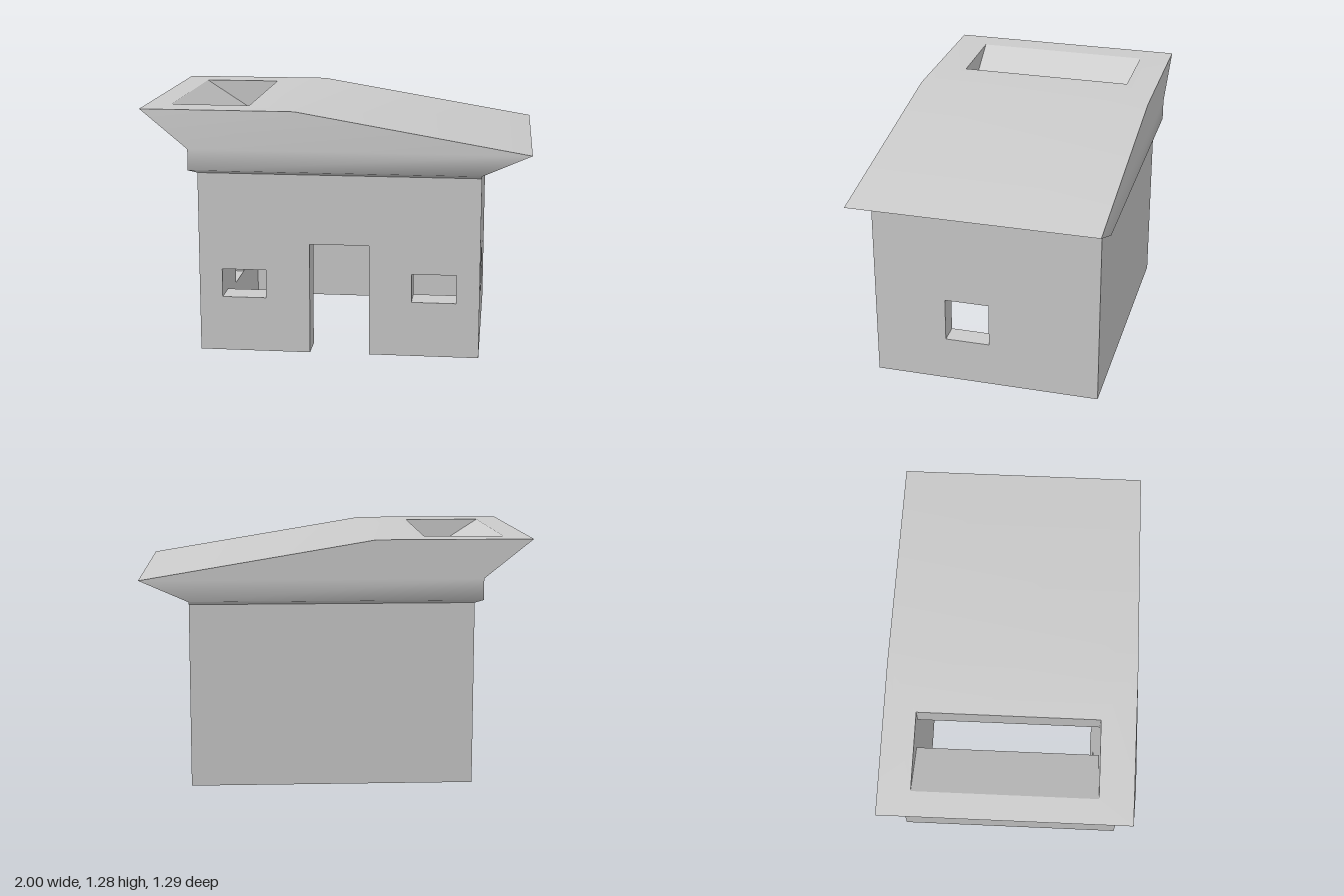
import * as THREE from 'three';
import { toCreasedNormals } from 'three/addons/utils/BufferGeometryUtils.js';

const EAVE = 0.95;                 // wall height
const IN_L = -0.59, IN_R = 0.64;   // inner faces of the side walls
const IN_F = 0.45, IN_B = -0.48;   // inner faces of front and back walls
const material = new THREE.MeshStandardMaterial({ color: 0xcccccc });

const polygon = (pts) => pts.map(([x, y]) => new THREE.Vector2(x, y));
const rect = (x0, y0, x1, y1) => polygon([[x0, y0], [x1, y0], [x1, y1], [x0, y1]]);

// A wall slab with rectangular window holes
function wall(name, outline, holes, depth) {
  const shape = new THREE.Shape(outline);
  for (const h of holes) shape.holes.push(new THREE.Path(rect(...h)));
  const geometry = new THREE.ExtrudeGeometry(shape, { depth, bevelEnabled: false });
  const mesh = new THREE.Mesh(geometry, material);
  mesh.name = name;
  return mesh;
}

// Collects flat faces, corners counter-clockwise from outside
function faceBuilder() {
  const positions = [];
  const tri = (...pts) => pts.forEach((p) => positions.push(...p));
  const quad = (a, b, c, d) => { tri(a, b, c); tri(a, c, d); };
  const mesh = (name, crease) => {
    const g = new THREE.BufferGeometry();
    g.setAttribute('position', new THREE.Float32BufferAttribute(positions, 3));
    const m = new THREE.Mesh(toCreasedNormals(g, crease), material);
    m.name = name;
    return m;
  };
  return { tri, quad, mesh };
}

// Level rectangle: front left, front right, back right, back left
const ring = (xl, yl, xr, yr, zl, zr, zb) =>
  [[xl, yl, zl], [xr, yr, zr], [xr, yr, zb], [xl, yl, zb]];

function roofShell() {
  const { quad, mesh } = faceBuilder();
  const rows = [
    ring(-0.71, EAVE, 0.75, EAVE, 0.6, 0.6, -0.6),
    ring(-0.75, 0.97, 0.75, 0.97, 0.645, 0.645, -0.645),
    ring(-0.75, 1.08, 1, 1.08, 0.645, 0.645, -0.645),
  ];
  const top = ring(-1, 1.28, -0.2, 1.28, 0.622, 0.632, -0.645);
  const opening = ring(-0.87, 1.28, -0.46, 1.28, IN_F, IN_F, IN_B);

  // eave bands
  for (let r = 0; r < 2; r++) {
    for (let i = 0; i < 4; i++) {
      const j = (i + 1) % 4;
      quad(rows[r][i], rows[r][j], rows[r + 1][j], rows[r + 1][i]);
    }
  }
  // gables, flared overhang and long slope
  const [c, f, fb, cb] = rows[2];
  const [d, e, eb, db] = top;
  quad(c, f, e, d);
  quad(fb, cb, db, eb);
  quad(cb, c, d, db);
  quad(e, f, fb, eb);
  // flat top around the skylight
  for (let i = 0; i < 4; i++) {
    const j = (i + 1) % 4;
    quad(top[i], top[j], opening[j], opening[i]);
  }
  return mesh('roof', 1.2);
}

// Inner faces of the roof: skylight shaft and ceiling
function roofCavity() {
  const { tri, quad, mesh } = faceBuilder();
  const path = [
    [IN_L, EAVE], [IN_L, 1.1], [-0.87, 1.28],
    [-0.46, 1.28], [-0.46, 1.16], [-0.2, 1.16], [IN_R, 1.02], [IN_R, EAVE],
  ];
  for (let i = 0; i < path.length - 1; i++) {
    if (i === 2) continue; // skylight stays open
    const p = path[i], q = path[i + 1];
    quad([...p, IN_F], [...p, IN_B], [...q, IN_B], [...q, IN_F]);
  }
  const outline = polygon(path).reverse();
  const at = (i, z) => [outline[i].x, outline[i].y, z];
  for (const [a, b, c] of THREE.ShapeUtils.triangulateShape(outline, [])) {
    tri(at(a, IN_B), at(b, IN_B), at(c, IN_B));
    tri(at(c, IN_F), at(b, IN_F), at(a, IN_F));
  }
  return mesh('skylightAndCeiling', 0.3);
}

export function createModel() {
  const house = new THREE.Group();
  house.name = 'house';

  // Front wall with doorway and two windows
  const frontOutline = polygon([
    [-0.71, 0], [-0.13, 0], [-0.13, 0.585], [0.18, 0.585],
    [0.18, 0], [0.75, 0], [0.75, EAVE], [-0.71, EAVE],
  ]);
  const front = wall('frontWall', frontOutline,
    [[-0.59, 0.29, -0.36, 0.44], [0.4, 0.29, 0.63, 0.44]], 0.6 - IN_F);
  front.position.z = IN_F;

  const back = wall('backWall', rect(-0.71, 0, 0.75, EAVE), [], 0.6 + IN_B);
  back.position.z = -0.6;

  // Side walls, each with one window
  const sides = [
    ['rightWall', -0.71, IN_L, 0.26, 0.495],
    ['leftWall', IN_R, 0.75, 0.24, 0.475],
  ].map(([name, x0, x1, sill, head]) => {
    const side = wall(name, rect(-IN_F, 0, -IN_B, EAVE), [[-0.22, sill, 0.015, head]], x1 - x0);
    side.rotation.y = Math.PI / 2;
    side.position.x = x0;
    return side;
  });

  house.add(front, back, ...sides, roofShell(), roofCavity());
  return house;
}
